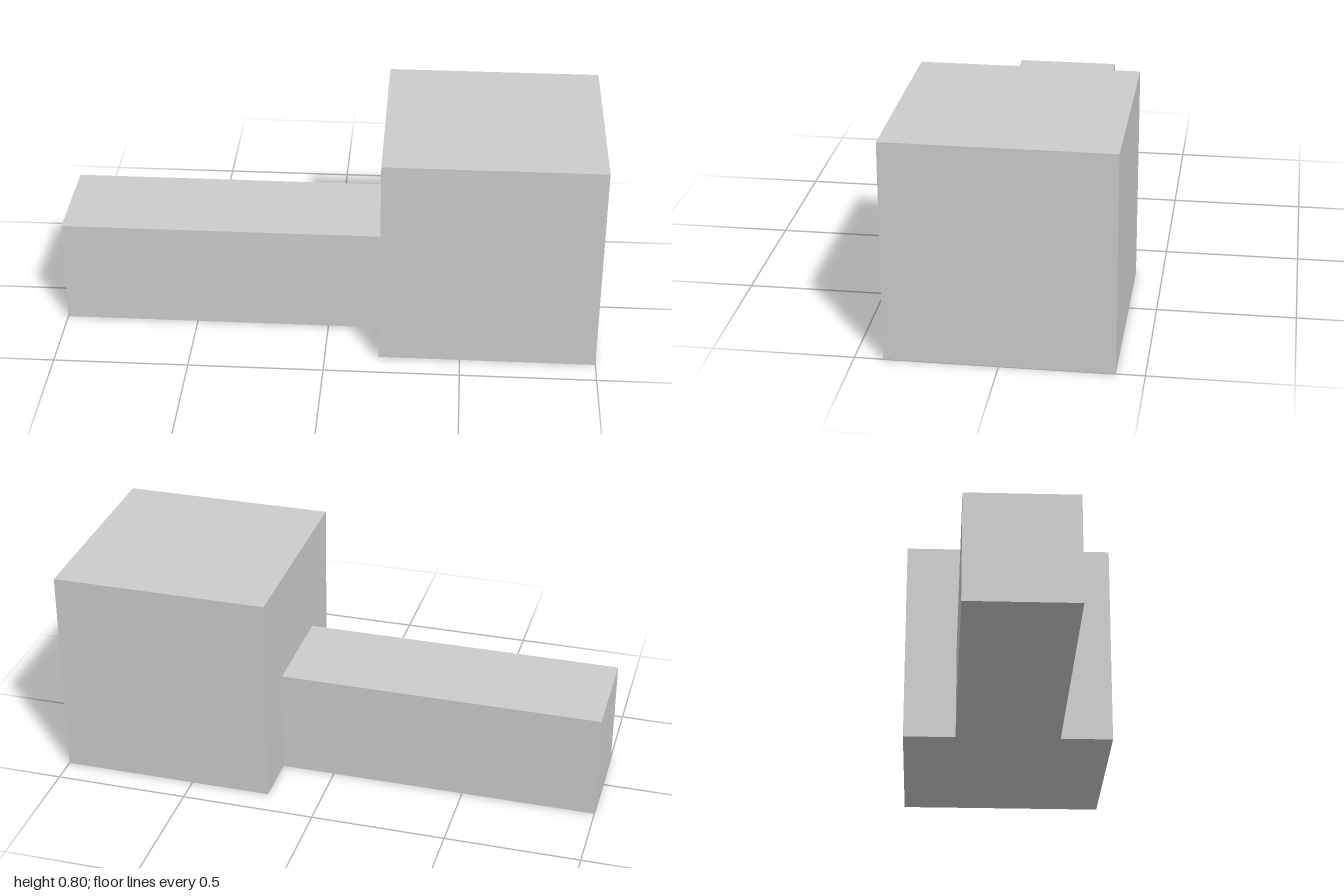
import * as THREE from 'three';

export function createModel() {
  const model = new THREE.Group();
  const material = new THREE.MeshStandardMaterial({ color: 0xcccccc, flatShading: true });

  // Box resting on the ground, spanning x0..x1
  const addBlock = (name, x0, x1, height, depth) => {
    const mesh = new THREE.Mesh(new THREE.BoxGeometry(x1 - x0, height, depth), material);
    mesh.name = name;
    mesh.position.set((x0 + x1) / 2, height / 2, 0);
    model.add(mesh);
  };

  addBlock('headBlock', 0.2, 1, 0.8, 0.8);
  addBlock('longBar', -1, 0.2, 0.4, 0.4);

  return model;
}
